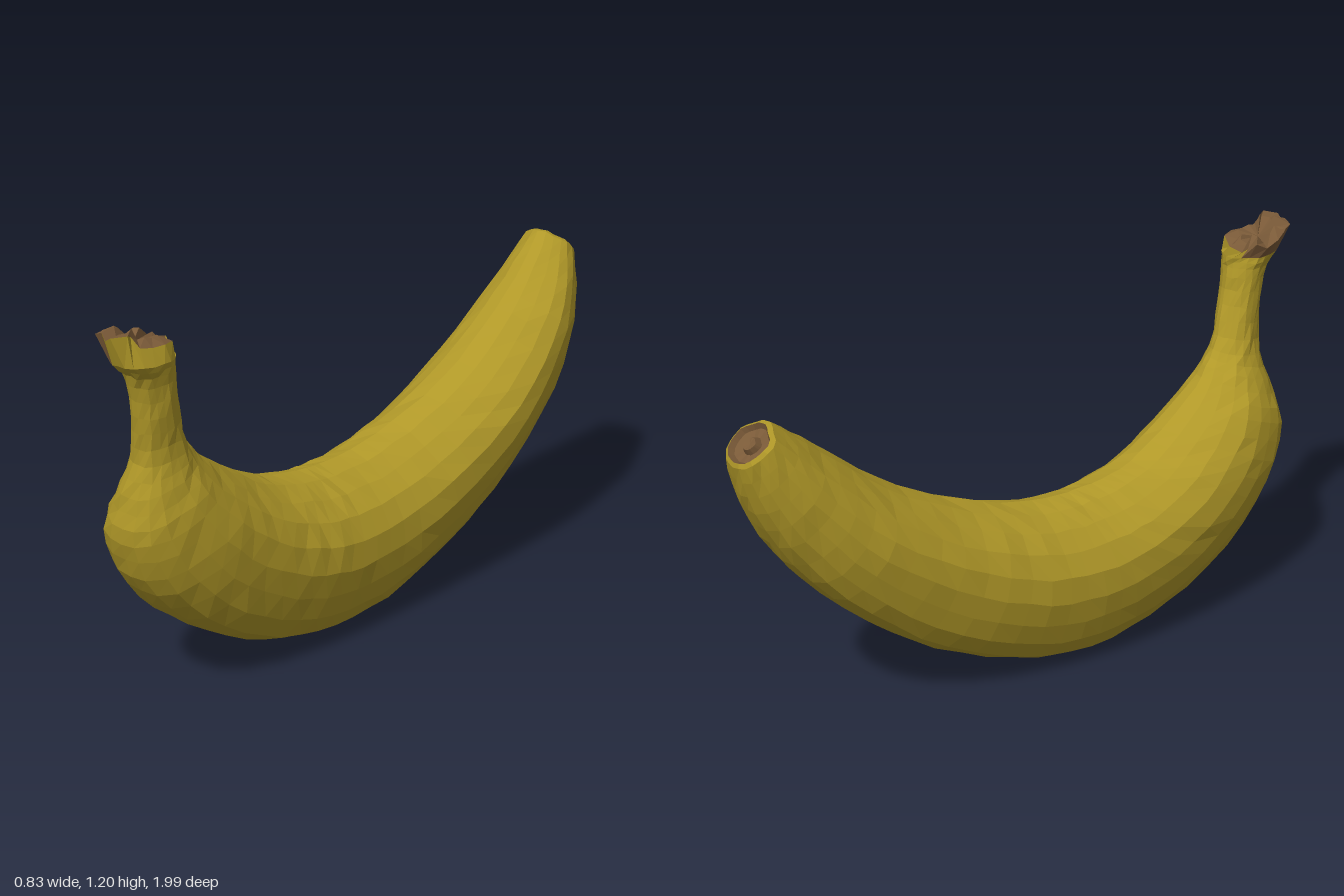
import * as THREE from 'three';

const SIDES = 20;
const RINGS = 44;
const SIDE = new THREE.Vector3(0.96, 0, 0.277); // sideways direction of the fruit
const SLOPE = -0.289; // x change per z along the fruit

// Stations from stem to tip: outer z, y, inner z, y, centre x, half width
const STATIONS = [
  [0.96, 1.10, 0.775, 1.10, -0.222, 0.076],
  [0.905, 1.04, 0.775, 1.05, -0.218, 0.068],
  [0.88, 0.92, 0.75, 0.94, -0.222, 0.064],
  [0.865, 0.79, 0.705, 0.82, -0.23, 0.072],
  [0.89, 0.67, 0.65, 0.76, -0.242, 0.105],
  [0.897, 0.55, 0.56, 0.69, -0.25, 0.155],
  [0.84, 0.40, 0.43, 0.605, -0.235, 0.188],
  [0.70, 0.24, 0.32, 0.55, -0.205, 0.205],
  [0.50, 0.10, 0.22, 0.525, -0.16, 0.21],
  [0.30, 0.025, 0.14, 0.512, -0.113, 0.212],
  [0.10, -0.003, 0.06, 0.51, -0.07, 0.212],
  [-0.10, 0.022, -0.06, 0.52, -0.012, 0.212],
  [-0.33, 0.115, -0.20, 0.56, 0.06, 0.211],
  [-0.55, 0.26, -0.37, 0.635, 0.14, 0.208],
  [-0.74, 0.44, -0.54, 0.74, 0.205, 0.195],
  [-0.87, 0.62, -0.67, 0.85, 0.25, 0.168],
  [-0.95, 0.78, -0.78, 0.94, 0.27, 0.128],
  [-0.995, 0.91, -0.875, 1.01, 0.272, 0.083],
];

let seed = 7;
function noise() {
  seed = (seed * 16807) % 2147483647;
  return (seed / 2147483647) * 2 - 1;
}

// One softly five-cornered cross-section
function makeRing([oz, oy, iz, iy, cx, hw], jitter = 0.003) {
  const centre = new THREE.Vector3(cx, (oy + iy) / 2, (oz + iz) / 2);
  const out = new THREE.Vector3(SLOPE * (oz - iz) / 2, (oy - iy) / 2, (oz - iz) / 2);
  const ring = [];
  for (let j = 0; j < SIDES; j++) {
    const t = (j / SIDES) * Math.PI * 2;
    const r = 1 - 0.025 * Math.cos(5 * t);
    const p = centre.clone()
      .addScaledVector(out, Math.cos(t) * r)
      .addScaledVector(SIDE, Math.sin(t) * r * hw);
    p.x += noise() * jitter;
    p.y += noise() * jitter;
    p.z += noise() * jitter;
    ring.push(p);
  }
  return ring;
}

// Shrinks a ring towards its centre and shifts it
function inset(ring, scale, shift) {
  const c = ring.reduce((s, p) => s.add(p), new THREE.Vector3()).divideScalar(SIDES);
  return ring.map((p) => p.clone().sub(c).multiplyScalar(scale).add(c).add(shift));
}

// Skins neighbouring rings; keep(i, j) picks the faces to include
function skin(rings, material, name, keep = () => true) {
  const pos = [];
  const add = (...pts) => pts.forEach((p) => pos.push(p.x, p.y, p.z));
  for (let i = 0; i < rings.length - 1; i++) {
    for (let j = 0; j < SIDES; j++) {
      if (!keep(i, j)) continue;
      const k = (j + 1) % SIDES;
      const a = rings[i][j], b = rings[i][k], c = rings[i + 1][j], d = rings[i + 1][k];
      add(a, c, b, b, c, d);
    }
  }
  const geo = new THREE.BufferGeometry();
  geo.setAttribute('position', new THREE.Float32BufferAttribute(pos, 3));
  geo.computeVertexNormals();
  const mesh = new THREE.Mesh(geo, material);
  mesh.name = name;
  return mesh;
}

export function createModel() {
  seed = 7;
  const group = new THREE.Group();
  group.name = 'banana';
  const peel = new THREE.MeshStandardMaterial({ color: 0xb09828, flatShading: true });
  peel.name = 'yellow peel';
  const dry = new THREE.MeshStandardMaterial({ color: 0x7a5a38, flatShading: true, side: THREE.DoubleSide });
  dry.name = 'dry brown';

  // Curved body and stem
  const curve = (a, b) => new THREE.CatmullRomCurve3(
    STATIONS.map((s) => new THREE.Vector3(s[a], s[b], 0)), false, 'catmullrom');
  const outer = curve(0, 1), inner = curve(2, 3), mid = curve(4, 5);
  const body = [];
  for (let i = 0; i <= RINGS; i++) {
    const o = outer.getPoint(i / RINGS), n = inner.getPoint(i / RINGS), m = mid.getPoint(i / RINGS);
    body.push(makeRing([o.x, o.y, n.x, n.y, m.x, m.y]));
  }
  group.add(skin(body, peel, 'body'));

  // Torn stem end: peel on the left and front, dry fibre on the right
  const torn = makeRing([0.975, 1.19, 0.78, 1.125, -0.245, 0.082], 0.014);
  const isDry = (i, j) => j >= 12 && j <= 18;
  const stemRings = [torn, body[0]];
  group.add(skin(stemRings, peel, 'stemEndPeel', (i, j) => !isDry(i, j)));
  group.add(skin(stemRings, dry, 'stemEndFibre', isDry));

  // Rough cap closing the stem
  const rough = inset(torn, 0.6, new THREE.Vector3(0, 0.012, 0));
  rough.forEach((p) => { p.y += noise() * 0.018; });
  const stemCentre = inset(torn, 0, new THREE.Vector3(0, -0.012, 0));
  group.add(skin([stemCentre, rough, torn], dry, 'stemCap'));

  // Blossom tip: peel rim, dry dished disc and a small nub
  const end = body[RINGS];
  const axis = new THREE.Vector3(0, 0.68, -0.73);
  const along = (d) => axis.clone().multiplyScalar(d);
  const rim = inset(end, 0.84, along(0.01));
  group.add(skin([end, rim], peel, 'tipRim'));
  group.add(skin([
    rim,
    inset(end, 0.7, along(-0.008)),
    inset(end, 0.36, along(-0.012)),
    inset(end, 0.26, along(0.008)),
    inset(end, 0, along(0.004)),
  ], dry, 'tipDisc'));

  return group;
}
